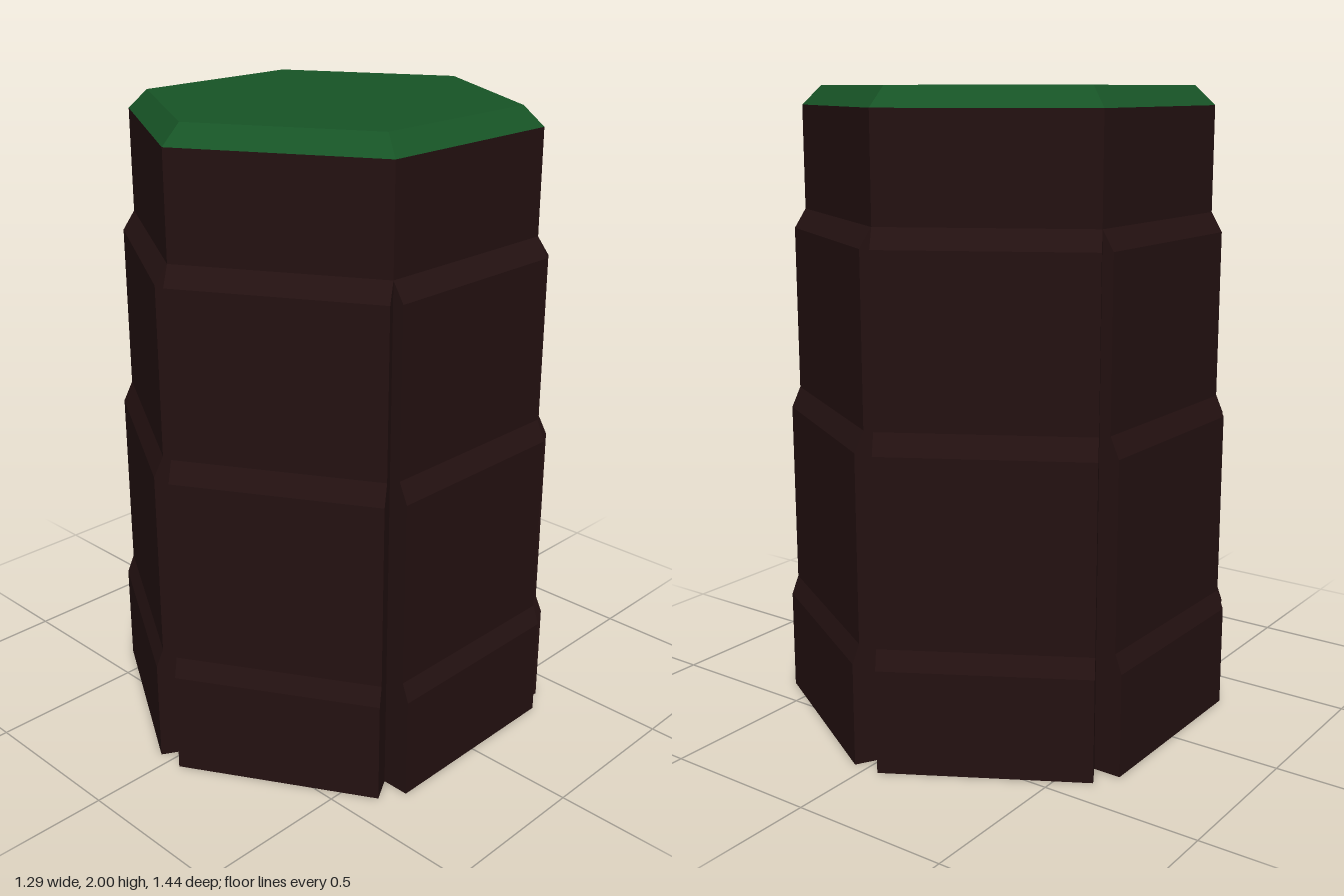
import * as THREE from 'three';

const RADIUS = 0.643;                               // hexagon corner radius, also its side length
const APOTHEM = RADIUS * Math.cos(Math.PI / 6);
const CAP_Y = 1.94;

export function createModel() {
  const model = new THREE.Group();
  model.name = 'hexagonalColumn';
  const earth = new THREE.MeshStandardMaterial({ color: 0x241111, flatShading: true });
  const grass = new THREE.MeshStandardMaterial({ color: 0x175426, flatShading: true });

  const add = (name, geometry, material, y = 0) => {
    const mesh = new THREE.Mesh(geometry, material);
    mesh.name = name;
    mesh.position.y = y;
    model.add(mesh);
    return mesh;
  };

  // Hexagonal core with corners facing front and back
  add('core', new THREE.CylinderGeometry(RADIUS, RADIUS, CAP_Y, 6), earth, CAP_Y / 2);

  // Bevelled green top
  add('grassCap', new THREE.CylinderGeometry(0.58, RADIUS, 2 - CAP_Y, 6), grass, (2 + CAP_Y) / 2);

  // Stepped slab on each of the six sides
  const profile = new THREE.Shape([
    [APOTHEM, 0], [0.645, 0], [0.645, 0.325], [0.623, 0.385], [0.623, 0.97],
    [0.594, 1.035], [0.594, 1.555], [APOTHEM, 1.615],
  ].map(([x, y]) => new THREE.Vector2(x, y)));
  const slab = new THREE.ExtrudeGeometry(profile, { depth: RADIUS, bevelEnabled: false });
  slab.translate(0, 0, -RADIUS / 2);
  for (let i = 0; i < 6; i++) {
    add(`sideSlab${i + 1}`, slab, earth).rotation.y = i * Math.PI / 3;
  }

  return model;
}
